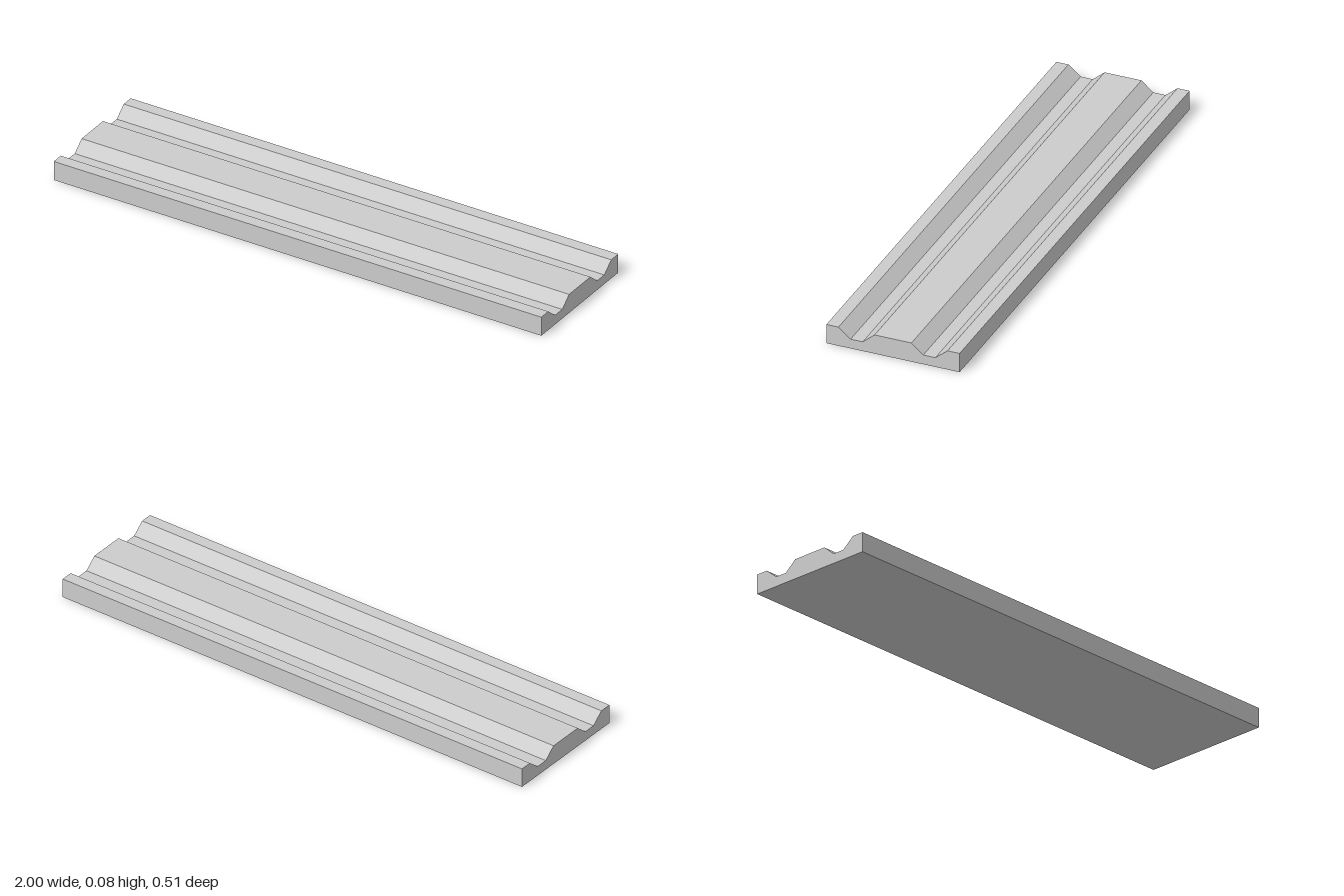
import * as THREE from 'three';

const LENGTH = 2;

export function createModel() {
  const group = new THREE.Group();
  group.name = 'groovedTrack';
  const lightGrey = new THREE.MeshStandardMaterial({ color: 0xcccccc });
  lightGrey.name = 'lightGrey';

  // Half of the cross-section, from the outer foot to the centre ridge
  const half = [
    [0.253, 0],
    [0.253, 0.075], [0.207, 0.075], // outer rail
    [0.161, 0.037], [0.115, 0.037], // groove floor
    [0.07, 0.075],                  // centre ridge
  ];
  const mirrored = half.map(([z, y]) => [-z, y]).reverse();
  const profile = new THREE.Shape([...half, ...mirrored].map(([z, y]) => new THREE.Vector2(z, y)));

  // Track: the cross-section swept along x
  const geometry = new THREE.ExtrudeGeometry(profile, { depth: LENGTH, bevelEnabled: false });
  geometry.translate(0, 0, -LENGTH / 2);
  geometry.rotateY(Math.PI / 2);

  const track = new THREE.Mesh(geometry, lightGrey);
  track.name = 'track';
  group.add(track);
  return group;
}
